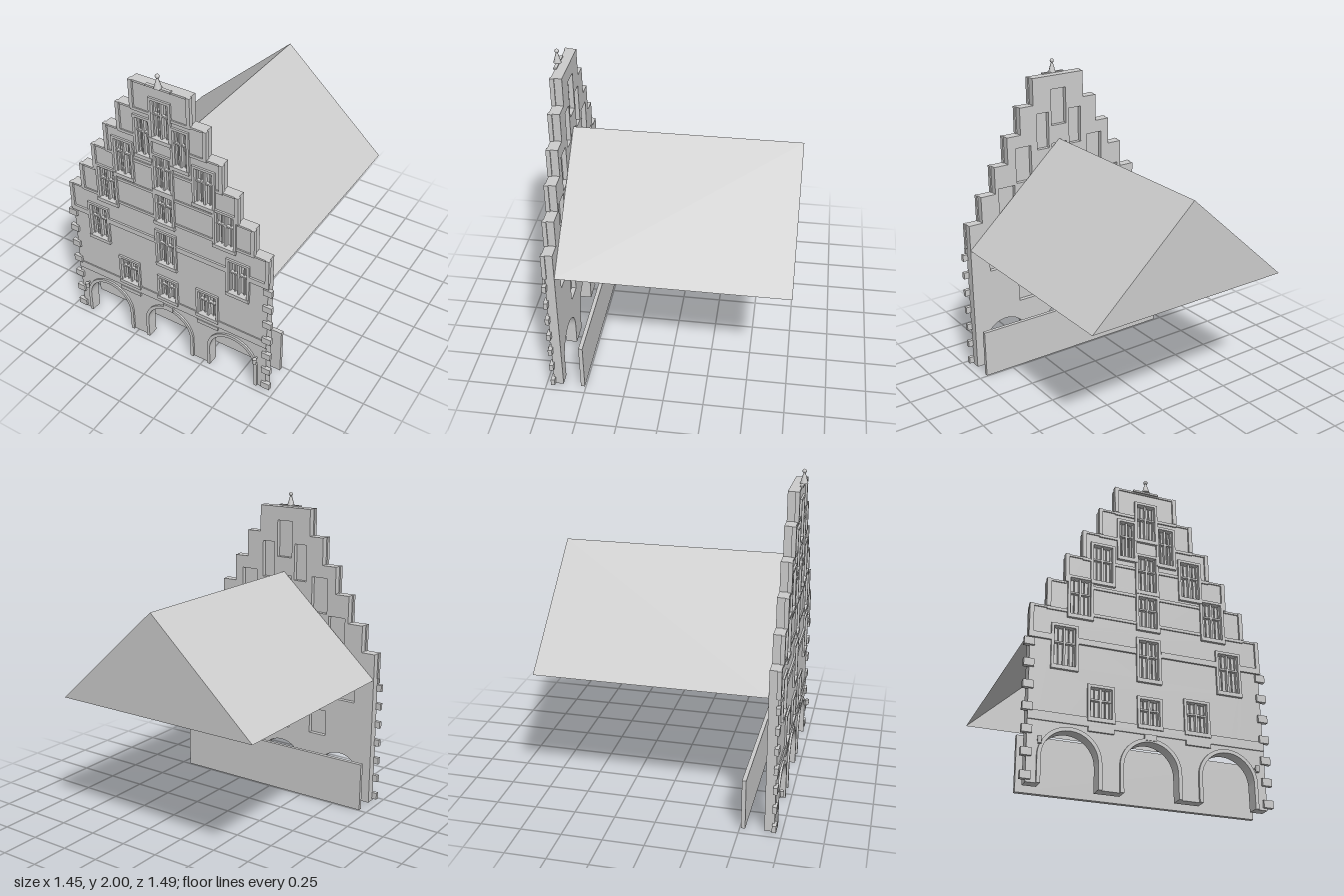
import * as THREE from 'three';

export function createModel() {
  const model = new THREE.Group();
  const stone = new THREE.MeshStandardMaterial({ color: 0xcccccc, side: THREE.DoubleSide });
  stone.name = 'grey stone';

  const BACK = 0.645, FACE = 0.704, TRIM = 0.716;

  function add(name, geometry, parent = model) {
    const mesh = new THREE.Mesh(geometry, stone);
    mesh.name = name;
    parent.add(mesh);
    return mesh;
  }
  // Box given by its limits on each axis
  function block(name, x0, x1, y0, y1, z0, z1, parent) {
    const mesh = add(name, new THREE.BoxGeometry(x1 - x0, y1 - y0, z1 - z0), parent);
    mesh.position.set((x0 + x1) / 2, (y0 + y1) / 2, (z0 + z1) / 2);
    return mesh;
  }
  function mirrored(name, x0, x1, y0, y1, z0, z1) {
    block(name, x0, x1, y0, y1, z0, z1);
    block(name, -x1, -x0, y0, y1, z0, z1);
  }
  function extrude(name, shape, z0, z1) {
    const g = new THREE.ExtrudeGeometry(shape, { depth: z1 - z0, bevelEnabled: false, curveSegments: 20 });
    add(name, g).position.z = z0;
  }

  // Stepped gable: half width and top of each step
  const steps = [[0.69, 1.025], [0.595, 1.2], [0.49, 1.38], [0.39, 1.557], [0.29, 1.735], [0.19, 1.91]];
  const arches = [-0.457, 0, 0.457], spring = 0.145, archR = 0.157;

  // Window openings: centre x, half width, bottom, top
  const side = [
    [0.283, 0.062, 0.4, 0.575], [0.494, 0.062, 0.675, 0.91], [0.406, 0.06, 1.0, 1.23],
    [0.273, 0.058, 1.24, 1.475], [0.123, 0.045, 1.435, 1.675],
  ];
  const windows = [
    ...side, ...side.map(([x, ...rest]) => [-x, ...rest]),
    [0, 0.058, 0.4, 0.55], [0, 0.058, 0.675, 0.91], [0, 0.056, 0.995, 1.19],
    [0, 0.056, 1.23, 1.46], [0, 0.056, 1.58, 1.82],
  ];

  // Front wall with arched doorways and window openings
  const wall = new THREE.Shape();
  wall.moveTo(-0.69, 0);
  for (const c of arches) {
    wall.lineTo(c - archR, 0);
    wall.lineTo(c - archR, spring);
    wall.absarc(c, spring, archR, Math.PI, 0, true);
    wall.lineTo(c + archR, 0);
  }
  wall.lineTo(0.69, 0);
  steps.forEach(([w, top], i) => {
    if (i) wall.lineTo(w, steps[i - 1][1]);
    wall.lineTo(w, top);
  });
  for (let i = steps.length - 1; i >= 0; i--) {
    wall.lineTo(-steps[i][0], steps[i][1]);
    if (i) wall.lineTo(-steps[i][0], steps[i - 1][1]);
  }
  for (const [x, w, y0, y1] of windows) {
    const hole = new THREE.Path();
    hole.moveTo(x - w, y0);
    hole.lineTo(x - w, y1);
    hole.lineTo(x + w, y1);
    hole.lineTo(x + w, y0);
    wall.holes.push(hole);
  }
  extrude('gableWall', wall, BACK, FACE);

  // Arch surrounds
  for (const c of arches) {
    const ring = new THREE.Shape();
    const outer = archR + 0.021;
    ring.moveTo(c - outer, 0);
    ring.lineTo(c - outer, spring);
    ring.absarc(c, spring, outer, Math.PI, 0, true);
    ring.lineTo(c + outer, 0);
    ring.lineTo(c + archR, 0);
    ring.lineTo(c + archR, spring);
    ring.absarc(c, spring, archR, 0, Math.PI, false);
    ring.lineTo(c - archR, 0);
    extrude('archSurround', ring, FACE - 0.005, TRIM);
  }
  block('keystone', -0.035, 0.035, 0.31, 0.345, FACE, TRIM + 0.004);

  // Windows: pane, frame, mullions, transom, casing and sill
  for (const [x, w, y0, y1] of windows) {
    const win = new THREE.Group();
    win.name = 'window';
    model.add(win);
    const c = 0.016, ym = y0 + (y1 - y0) * 0.62;
    block('pane', x - w, x + w, y0, y1, 0.674, 0.68, win);
    for (const s of [-1, 1]) {
      block('casingSide', x + s * (w + c / 2) - c / 2, x + s * (w + c / 2) + c / 2, y0 - 0.01, y1 + c, FACE - 0.004, TRIM, win);
      block('glazingBar', x + s * w * 0.5 - 0.003, x + s * w * 0.5 + 0.003, y0, y1, 0.68, 0.69, win);
      block('sashSide', x + s * (w - 0.004) - 0.004, x + s * (w - 0.004) + 0.004, y0, y1, 0.68, 0.695, win);
    }
    block('casingTop', x - w, x + w, y1, y1 + c, FACE - 0.004, TRIM, win);
    block('mullion', x - 0.006, x + 0.006, y0, y1, 0.68, 0.702, win);
    block('transom', x - w, x + w, ym - 0.005, ym + 0.005, 0.68, 0.7, win);
    block('sill', x - w - c, x + w + c, y0 - 0.024, y0, FACE - 0.004, TRIM + 0.004, win);
  }

  // String courses across the lower storeys
  block('lowerCourse', -0.69, 0.69, 0.345, 0.398, FACE - 0.004, 0.711);
  mirrored('courseCorbel', 0.21, 0.358, 0.318, 0.345, FACE - 0.004, TRIM);
  const gaps = [[0.075, 0.417], [0.571, 0.7]];
  for (const [a, b] of gaps) mirrored('middleCourse', a, b, 0.82, 0.855, FACE - 0.004, TRIM);

  // Bands on the gable, broken around the windows
  const bands = [
    [1.025, 0.073, 0.328], [1.025, 0.484, 0.6], [1.2, 0.073, 0.328], [1.38, 0.073, 0.198],
    [1.38, 0.348, 0.395], [1.557, 0.185, 0.295], [1.735, 0.073, 0.195],
  ];
  for (const [y, a, b] of bands) mirrored('gableBand', a, b, y - 0.018, y, FACE - 0.004, 0.712);

  // Edge pilasters and low coping on each step
  steps.forEach(([w, top], i) => {
    const bottom = i ? steps[i - 1][1] : 0.855;
    mirrored('stepPilaster', w - 0.016, w + 0.008, bottom, top, 0.69, TRIM);
    const inner = i < 5 ? steps[i + 1][0] : 0;
    mirrored('stepCoping', inner, w - 0.016, top - 0.012, top, FACE - 0.004, 0.711);
  });

  // Corner quoins
  for (let i = 0; i < 7; i++) {
    const y = 0.035 + i * 0.126;
    mirrored('quoin', 0.665, 0.723, y - 0.022, y + 0.022, 0.693, 0.718);
  }

  // Wall lamps beside the outer arches
  for (const s of [-1, 1]) {
    const lamp = add('lamp', new THREE.CylinderGeometry(0.013, 0.011, 0.038, 8));
    lamp.position.set(s * 0.628, 0.225, 0.732);
    block('lampArm', s * 0.628 - 0.004, s * 0.628 + 0.004, 0.23, 0.238, FACE, 0.732);
  }

  // Finial on the top step
  block('finialPlate', -0.08, 0.08, 1.905, 1.917, 0.7, 0.72);
  const spire = add('finialSpire', new THREE.CylinderGeometry(0.005, 0.024, 0.065, 8));
  spire.position.set(0, 1.947, 0.714);
  const ball = add('finialBall', new THREE.SphereGeometry(0.013, 10, 8));
  ball.position.set(0, 1.987, 0.714);

  // Roof: two slopes and a rear gable, open beneath
  const eave = 0.855, ridge = 1.485, rear = -0.745, half = 0.69;
  const tri = (...p) => new THREE.BufferGeometry().setAttribute('position', new THREE.Float32BufferAttribute(p.flat(), 3));
  const L0 = [half, eave, BACK], L1 = [half, eave, rear];
  const R0 = [-half, eave, BACK], R1 = [-half, eave, rear];
  const T0 = [0, ridge, BACK], T1 = [0, ridge, rear];
  const parts = {
    roofLeft: tri(L0, L1, T1, L0, T1, T0),
    roofRight: tri(R0, T0, T1, R0, T1, R1),
    rearGable: tri(L1, R1, T1),
  };
  for (const [name, g] of Object.entries(parts)) {
    g.computeVertexNormals();
    add(name, g);
  }

  // Low screen wall behind the arches
  block('screenWall', -0.695, 0.695, 0, 0.318, 0.507, 0.532);

  return model;
}
